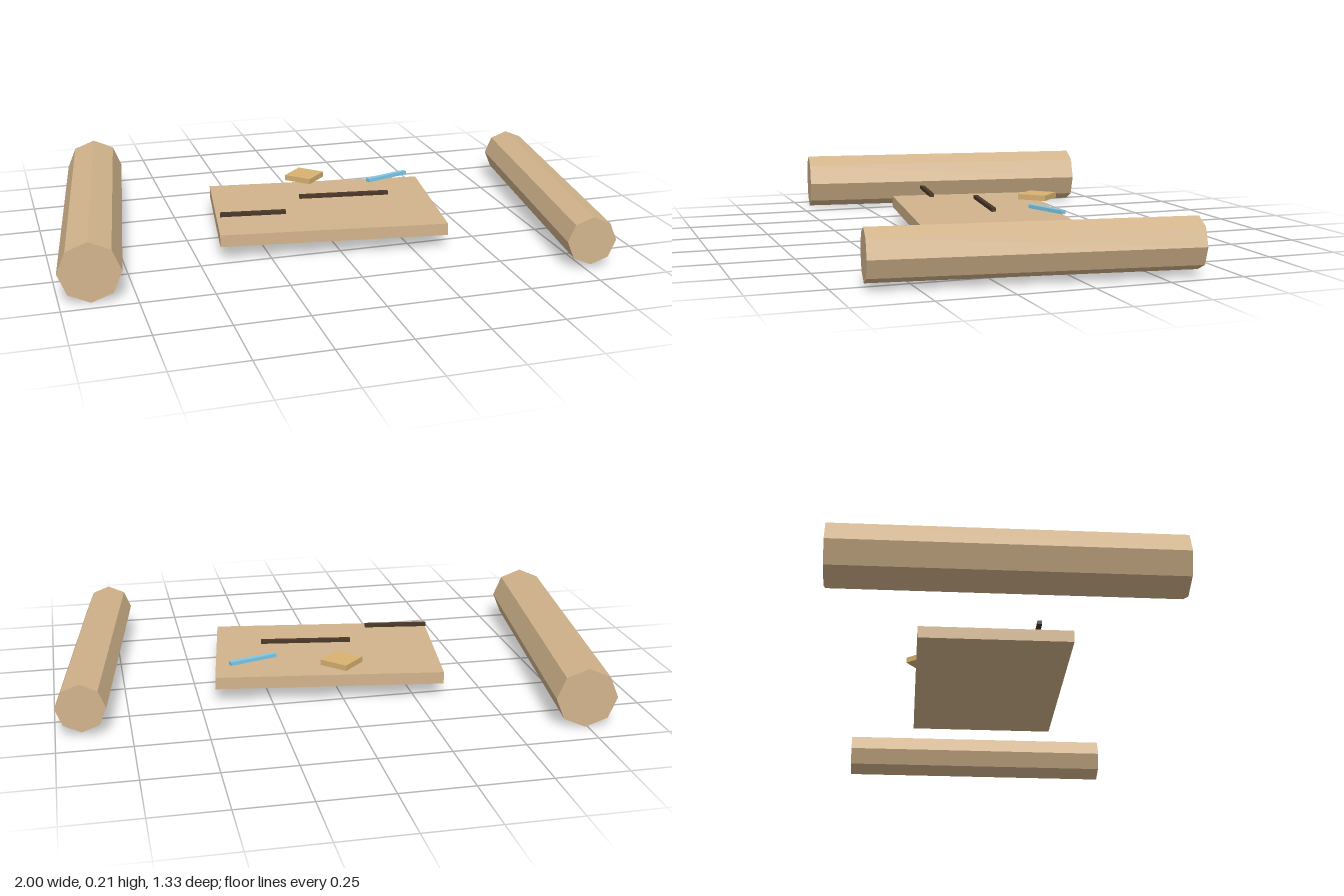
import * as THREE from 'three';

const YAW = -0.14; // shared turn of the whole layout

const material = (color) => new THREE.MeshStandardMaterial({ color, flatShading: true });

export function createModel() {
  const model = new THREE.Group();
  const wood = material(0xd2b48c);
  const dark = material(0x4a3728);
  const blue = material(0x7ec8e8);
  const gold = material(0xd8b272);

  const add = (name, geometry, mat, x, y, z, yaw = YAW) => {
    const mesh = new THREE.Mesh(geometry, mat);
    mesh.name = name;
    mesh.position.set(x, y, z);
    mesh.rotation.y = yaw;
    model.add(mesh);
  };

  // Eight-sided seating logs lying along z
  const log = (name, radius, length, x, y, z) =>
    add(name, new THREE.CylinderGeometry(radius, radius, length, 8).rotateX(Math.PI / 2), wood, x, y, z);
  log('rightLog', 0.104, 1.122, -0.82, 0.104, -0.1);
  log('leftLog', 0.085, 1.045, 0.84, 0.1, 0.13);

  // Flat board between the logs
  add('board', new THREE.BoxGeometry(0.803, 0.043, 0.535), wood, 0.01, 0.072, 0.015);

  // Thin dark sticks hovering over the board
  add('shortStick', new THREE.BoxGeometry(0.232, 0.013, 0.016), dark, -0.285, 0.127, 0.126);
  add('longStick', new THREE.BoxGeometry(0.328, 0.013, 0.016), dark, 0.083, 0.127, 0.023);

  // Blue stick and square chip
  add('blueStick', new THREE.BoxGeometry(0.178, 0.013, 0.018), blue, 0.302, 0.129, -0.13, 0.31);
  add('chip', new THREE.BoxGeometry(0.107, 0.02, 0.107), gold, 0, 0.131, -0.216, Math.PI / 4);

  return model;
}
